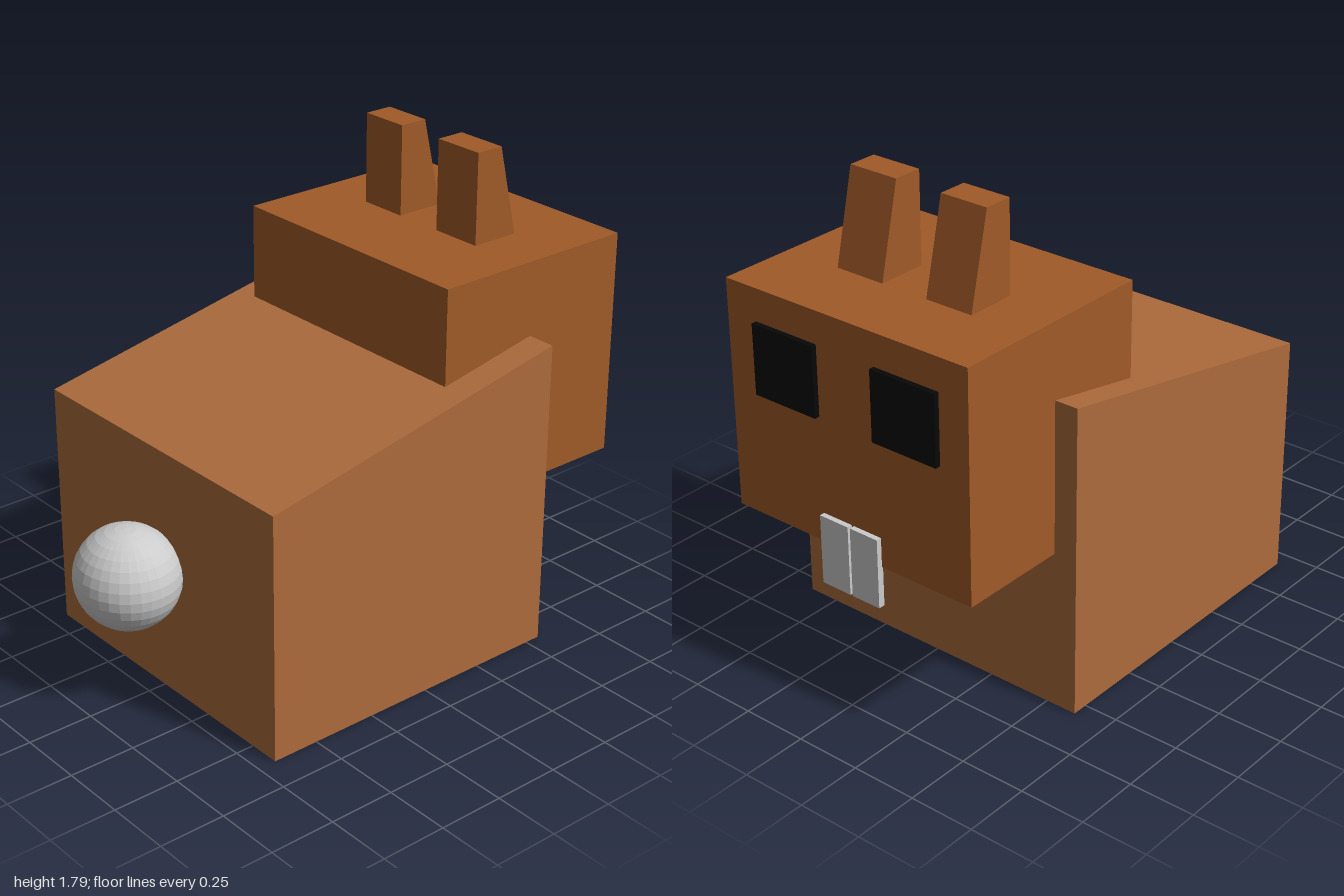
import * as THREE from 'three';

const material = (color) => new THREE.MeshStandardMaterial({ color, flatShading: true });

export function createModel() {
  const model = new THREE.Group();
  const coat = material(0xad6b3c);
  const headCoat = material(0xa05a28);
  const black = material(0x080808);
  const grey = material(0xcccccc);

  const add = (name, geometry, mat) => {
    const mesh = new THREE.Mesh(geometry, mat);
    mesh.name = name;
    model.add(mesh);
    return mesh;
  };

  // Box given by its limits on each axis
  const block = (name, [x0, x1], [y0, y1], [z0, z1], mat) =>
    add(name, new THREE.BoxGeometry(x1 - x0, y1 - y0, z1 - z0), mat)
      .position.set((x0 + x1) / 2, (y0 + y1) / 2, (z0 + z1) / 2);

  // Side profile of [z, y] points, extruded from x0 to x1
  const wedge = (name, [x0, x1], profile, mat) => {
    const shape = new THREE.Shape(profile.map(([z, y]) => new THREE.Vector2(-z, y)));
    const geometry = new THREE.ExtrudeGeometry(shape, { depth: x1 - x0, bevelEnabled: false });
    geometry.rotateY(Math.PI / 2).translate(x0, 0, 0);
    add(name, geometry, mat);
  };

  // Body with a sloping back, and the head set into its high end
  wedge('body', [-0.62, 0.62], [[0.68, 0], [-0.56, 0], [-0.56, 1.17], [0.68, 0.93]], coat);
  block('head', [-0.53, 0.51], [0.6, 1.45], [-0.98, -0.16], headCoat);

  // Ears, tapering on the face side
  const earProfile = [[-0.505, 1.45], [-0.695, 1.45], [-0.615, 1.79], [-0.505, 1.79]];
  wedge('rightEar', [-0.3, -0.11], earProfile, headCoat);
  wedge('leftEar', [0.08, 0.28], earProfile, headCoat);

  // Eyes and front teeth on the face
  block('rightEye', [-0.41, -0.14], [1.07, 1.33], [-1, -0.97], black);
  block('leftEye', [0.11, 0.38], [1.07, 1.33], [-1, -0.97], black);
  block('rightTooth', [-0.145, -0.025], [0.45, 0.71], [-1, -0.975], grey);
  block('leftTooth', [-0.015, 0.11], [0.45, 0.71], [-1, -0.975], grey);

  // Round tail
  const tail = add('tail', new THREE.SphereGeometry(1, 32, 16), grey);
  tail.scale.set(0.197, 0.187, 0.187);
  tail.position.set(-0.013, 0.483, 0.813);

  return model;
}
